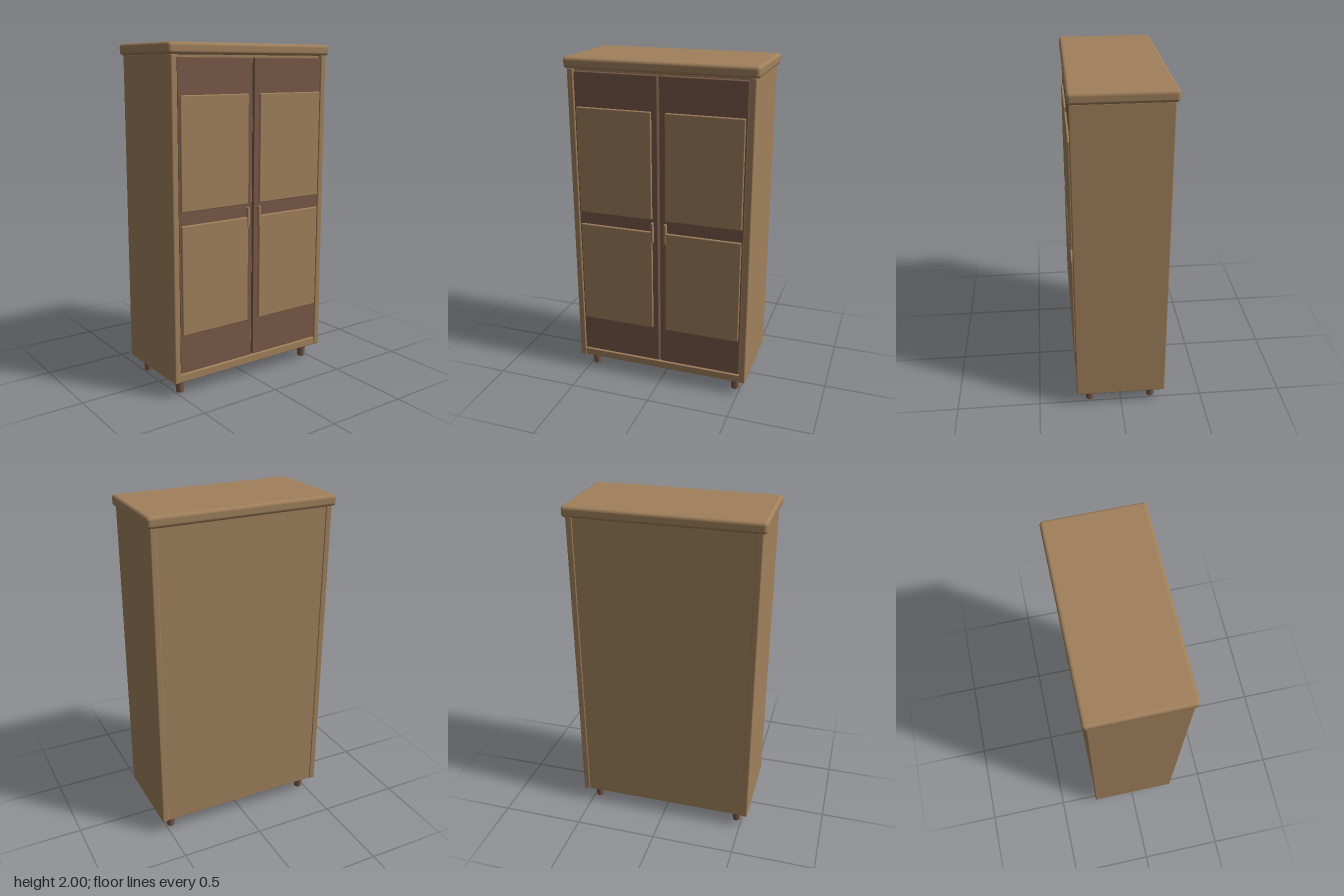
import * as THREE from 'three';
import { RoundedBoxGeometry } from 'three/addons/geometries/RoundedBoxGeometry.js';

const wood = new THREE.MeshStandardMaterial({ color: 0xa0805c });
wood.name = 'light wood';
const brown = new THREE.MeshStandardMaterial({ color: 0x785847 });
brown.name = 'dark brown wood';

// Softly rounded board given by its lower and upper limits on each axis
function board(name, material, [x0, x1], [y0, y1], [z0, z1], radius) {
  const geometry = new RoundedBoxGeometry(x1 - x0, y1 - y0, z1 - z0, 3, radius);
  const mesh = new THREE.Mesh(geometry, material);
  mesh.position.set((x0 + x1) / 2, (y0 + y1) / 2, (z0 + z1) / 2);
  mesh.name = name;
  return mesh;
}

export function createModel() {
  const wardrobe = new THREE.Group();
  wardrobe.name = 'wardrobe';

  // Carcass: core with back face, bottom rail and overhanging top
  wardrobe.add(
    board('carcass', wood, [-0.512, 0.512], [0.092, 1.94], [-0.261, 0.25], 0.003),
    board('bottomRail', wood, [-0.512, 0.512], [0.09, 0.138], [0.2, 0.268], 0.005),
    board('top', wood, [-0.565, 0.565], [1.935, 2], [-0.283, 0.283], 0.02)
  );

  // Mirrored halves: side, door, raised panels, handle and legs
  for (const [side, s] of [['left', 1], ['right', -1]]) {
    const span = (a, b) => (s > 0 ? [a, b] : [-b, -a]);
    wardrobe.add(board(side + 'Side', wood, span(0.508, 0.546), [0.09, 1.938], [-0.266, 0.272], 0.007));

    const door = new THREE.Group();
    door.name = side + 'Door';
    door.add(
      board('doorLeaf', brown, span(0.006, 0.507), [0.145, 1.922], [0.235, 0.268], 0.005),
      board('upperPanel', wood, span(0.041, 0.496), [1.087, 1.722], [0.255, 0.281], 0.006),
      board('lowerPanel', wood, span(0.041, 0.496), [0.375, 1.01], [0.255, 0.281], 0.006),
      board('handle', wood, span(0.033, 0.048), [0.943, 1.067], [0.262, 0.286], 0.004)
    );
    wardrobe.add(door);

    // Tapered round legs
    for (const [end, z] of [['Front', 0.19], ['Back', -0.187]]) {
      const leg = new THREE.Mesh(new THREE.CylinderGeometry(0.03, 0.023, 0.1, 24), brown);
      leg.position.set(s * 0.468, 0.05, z);
      leg.name = side + end + 'Leg';
      wardrobe.add(leg);
    }
  }
  return wardrobe;
}
